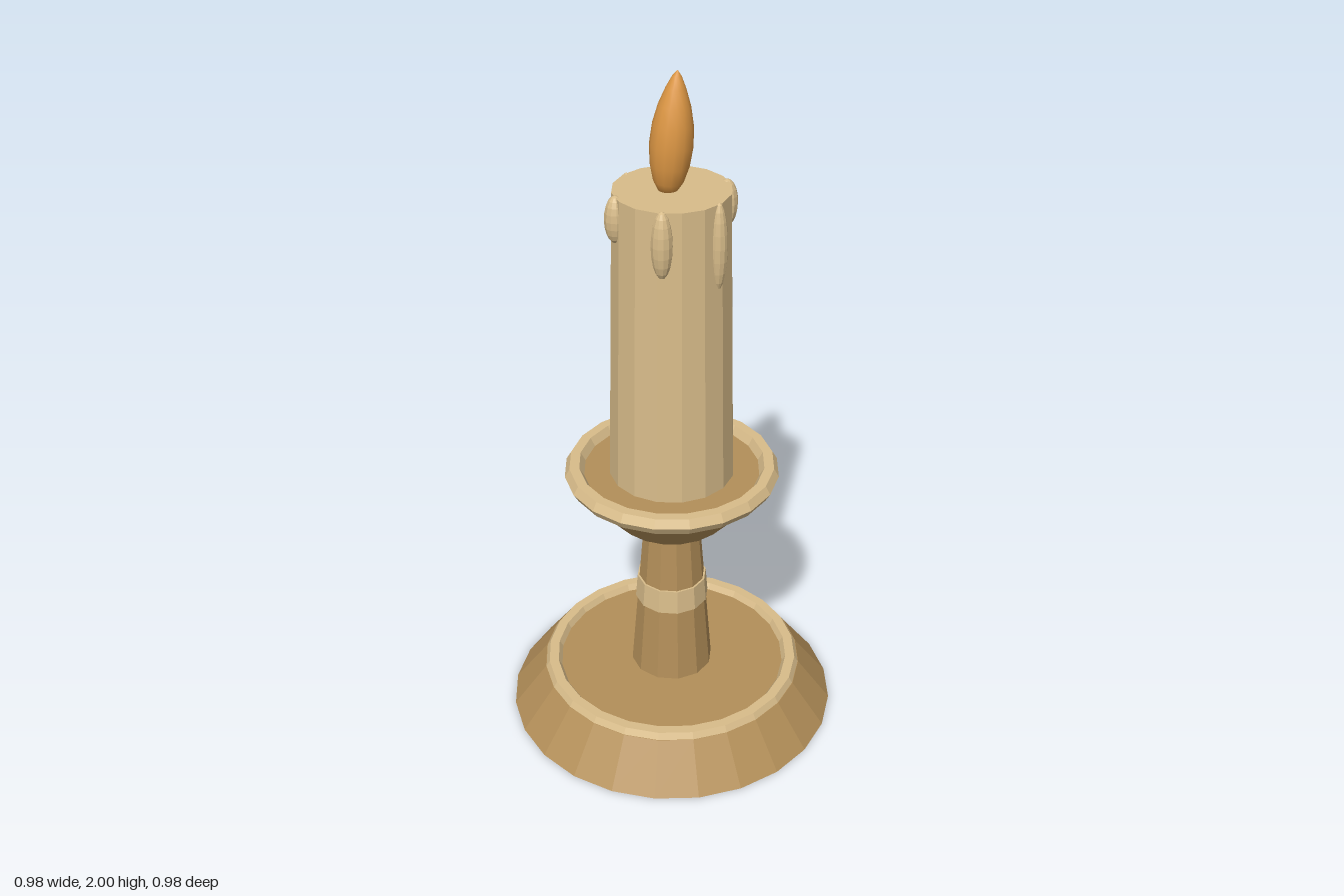
import * as THREE from 'three';

export function createModel() {
  const model = new THREE.Group();
  model.name = 'candlestick';

  const material = (name, color, flatShading) => {
    const m = new THREE.MeshStandardMaterial({ color, flatShading });
    m.name = name;
    return m;
  };
  const bronze = material('bronze', 0xb38f59, true);
  const cream = material('cream', 0xd8bc8a, true);
  const amber = material('amber', 0xdd9744, false);

  const add = (name, geometry, mat, y = 0) => {
    const mesh = new THREE.Mesh(geometry, mat);
    mesh.name = name;
    mesh.position.y = y;
    model.add(mesh);
    return mesh;
  };

  // Tapered round part standing between two heights
  const taper = (name, mat, y0, y1, r0, r1, sides) =>
    add(name, new THREE.CylinderGeometry(r1, r0, y1 - y0, sides), mat, (y0 + y1) / 2);

  // Six-sided ring lying flat
  const ring = (name, y, radius, sides) =>
    add(name, new THREE.TorusGeometry(radius, 0.028, 6, sides).rotateX(Math.PI / 2), cream, y);

  // Foot, stem and saucer
  taper('base', bronze, 0, 0.132, 0.489, 0.39, 24);
  ring('baseRim', 0.126, 0.364, 24);
  taper('stem', bronze, 0.12, 0.642, 0.123, 0.082, 12);
  taper('stemBand', cream, 0.372, 0.447, 0.109, 0.103, 12);
  taper('saucer', bronze, 0.667, 0.82, 0.165, 0.3, 20);
  ring('saucerRim', 0.82, 0.28, 20);

  // Candle
  taper('candle', cream, 0.81, 1.683, 0.179, 0.158, 16);

  // Wax drips, three lengths repeated around the top edge
  const drips = [[0.066, 0.03], [0.123, 0.025], [0.094, 0.029]];
  for (let i = 0; i < 6; i++) {
    const [half, radius] = drips[i % 3];
    const angle = (i * Math.PI) / 3 - 0.2;
    const drip = add('waxDrip', new THREE.SphereGeometry(1, 12, 10), cream, 1.687 - half);
    drip.scale.set(radius, half, radius);
    drip.position.x = Math.cos(angle) * 0.155;
    drip.position.z = Math.sin(angle) * 0.155;
  }

  // Flame, leaning slightly to one side
  const profile = [
    [0, -0.15], [0.024, -0.143], [0.04, -0.115], [0.052, -0.07], [0.057, -0.015],
    [0.053, 0.04], [0.042, 0.09], [0.026, 0.135], [0.012, 0.165], [0, 0.181],
  ].map(([x, y]) => new THREE.Vector2(x, y));
  const flame = add('flame', new THREE.LatheGeometry(profile, 14), amber, 1.82);
  flame.rotation.z = -0.08;

  return model;
}
